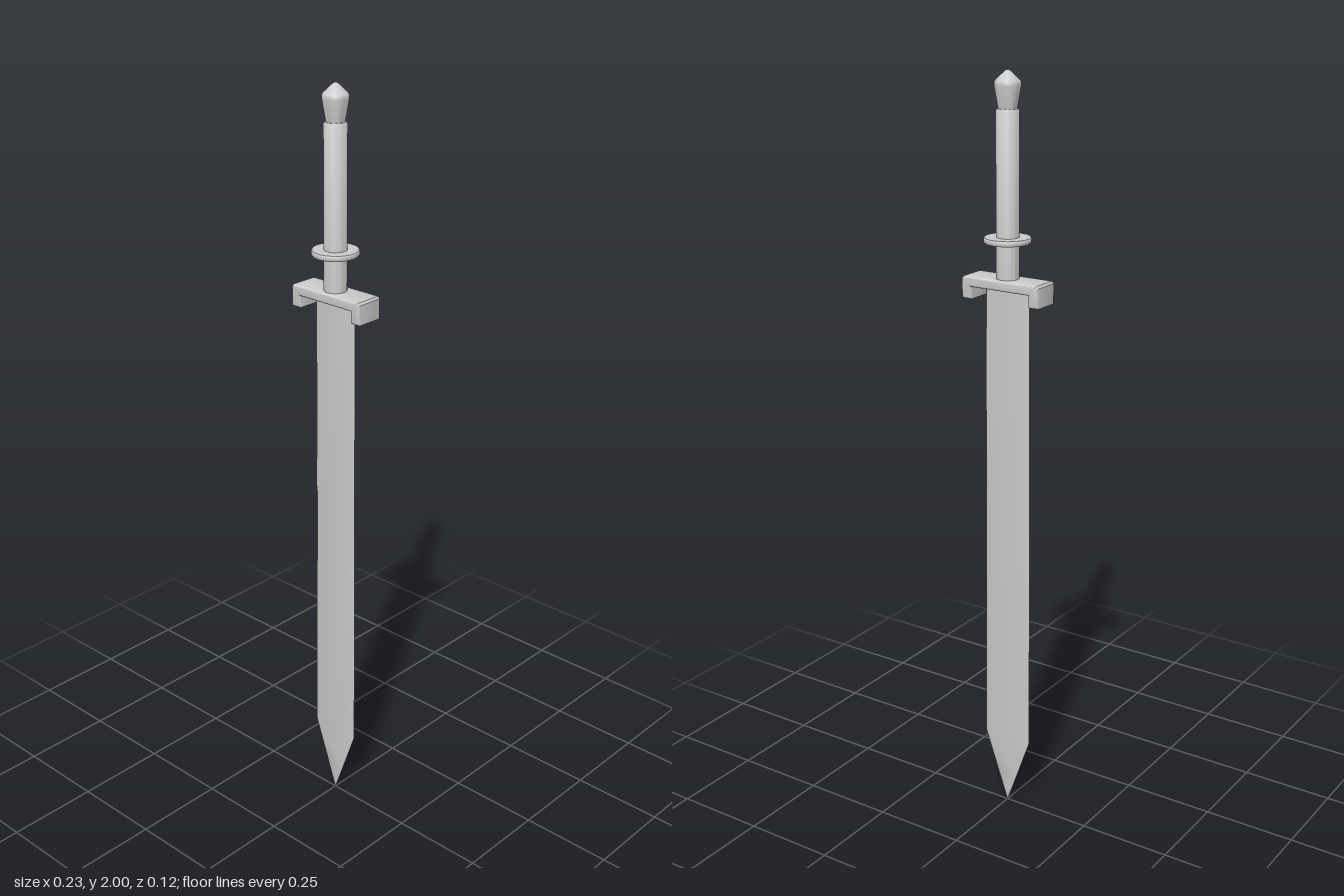
import * as THREE from 'three';
import { toCreasedNormals } from 'three/addons/utils/BufferGeometryUtils.js';

const steel = new THREE.MeshStandardMaterial({ color: 0xcccccc });

function addPart(group, name, geometry) {
  const mesh = new THREE.Mesh(toCreasedNormals(geometry, 0.6), steel);
  mesh.name = name;
  group.add(mesh);
}

// Thin six-sided blade lofted from top to point: [y, edge, flat, half thickness]
function bladeGeometry() {
  const rings = [
    [1.475, 0.065, 0.061, 0.004],
    [0.2, 0.071, 0.062, 0.004],
    [0.08, 0.029, 0.022, 0.004],
    [0, 0.0005, 0.0003, 0.0003],
  ].map(([y, w, f, t]) =>
    [[w, 0], [f, -t], [-f, -t], [-w, 0], [-f, t], [f, t]].map(([x, z]) => [x, y, z]));
  const points = [];
  for (let r = 0; r < rings.length - 1; r++) {
    for (let i = 0; i < 6; i++) {
      const j = (i + 1) % 6;
      const a = rings[r][i], b = rings[r][j], c = rings[r + 1][j], d = rings[r + 1][i];
      points.push(...a, ...d, ...c, ...a, ...c, ...b);
    }
  }
  const geometry = new THREE.BufferGeometry();
  geometry.setAttribute('position', new THREE.Float32BufferAttribute(points, 3));
  geometry.computeVertexNormals();
  return geometry;
}

// Crossguard: a bar with both ends turned down, edges rounded
function guardGeometry() {
  const half = [[0.085, 1.467], [0.085, 1.436], [0.113, 1.436], [0.113, 1.487], [0.108, 1.493]];
  const mirrored = half.map(([x, y]) => [-x, y]).reverse();
  const shape = new THREE.Shape([...half, ...mirrored].map(([x, y]) => new THREE.Vector2(x, y)));
  const bevel = 0.005;
  const geometry = new THREE.ExtrudeGeometry(shape, {
    depth: 0.08 - 2 * bevel, bevelThickness: bevel, bevelSize: bevel, bevelOffset: -bevel, bevelSegments: 3,
  });
  return geometry.translate(0, 0, -0.04 + bevel);
}

// Round part turned about the y axis from [radius, y] points, bottom to top
function turned(profile) {
  return new THREE.LatheGeometry(profile.map(([r, y]) => new THREE.Vector2(r, y)), 32);
}

export function createModel() {
  const sword = new THREE.Group();
  sword.name = 'sword';
  addPart(sword, 'blade', bladeGeometry());
  addPart(sword, 'crossguard', guardGeometry());
  addPart(sword, 'grip', turned([[0, 1.48], [0.029, 1.48], [0.029, 1.904], [0.026, 1.909], [0, 1.909]]));
  addPart(sword, 'handDisc', turned([
    [0, 1.583], [0.058, 1.583], [0.06, 1.586], [0.06, 1.594], [0.058, 1.597], [0, 1.597]]));
  addPart(sword, 'pommel', turned([
    [0, 1.905], [0.023, 1.905], [0.033, 1.963], [0.033, 1.971], [0.03, 1.976], [0.01, 1.995], [0.005, 1.999], [0, 2]]));
  return sword;
}
